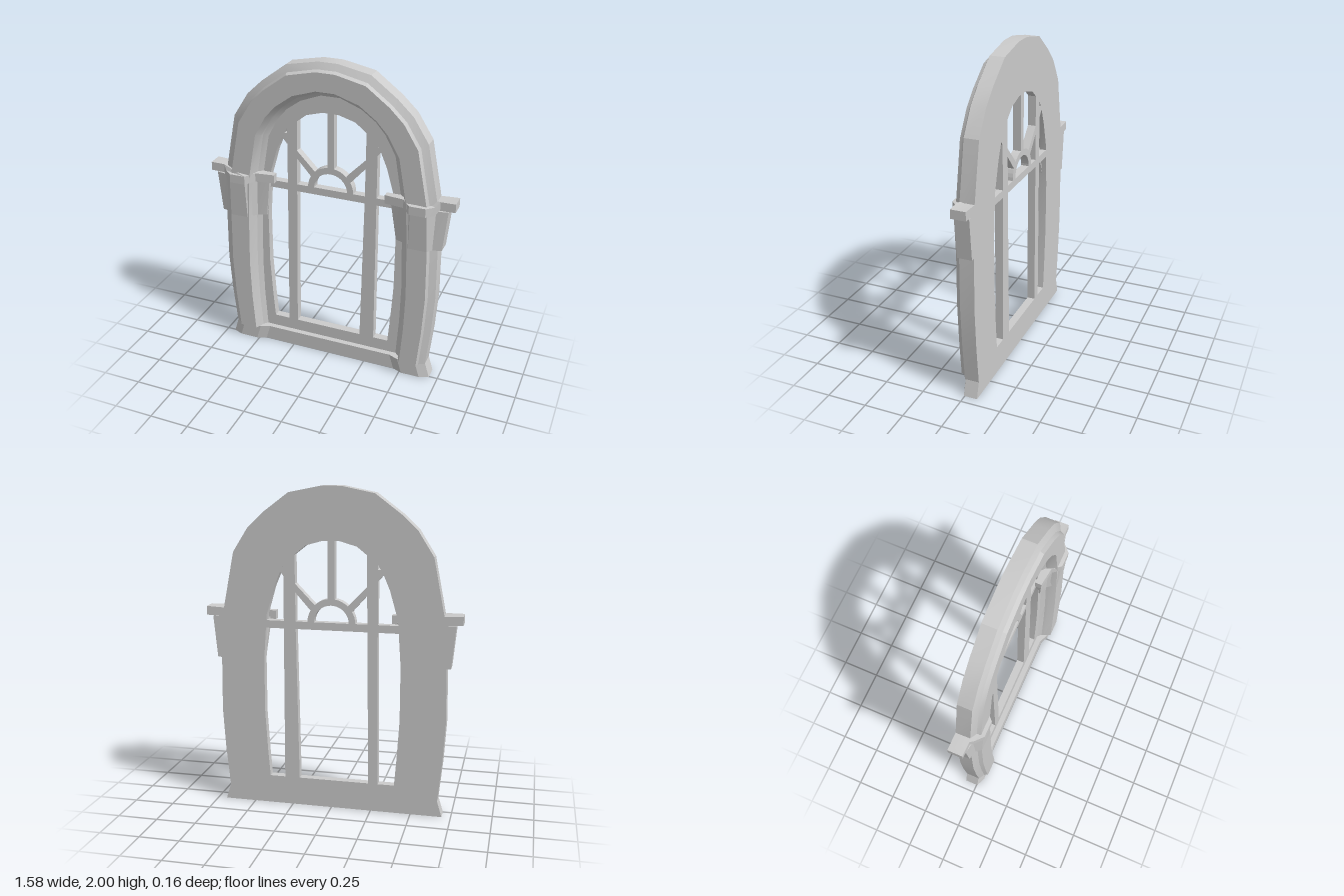
import * as THREE from 'three';
import { toCreasedNormals } from 'three/addons/utils/BufferGeometryUtils.js';

const BACK = -0.08, PANE = -0.03;
const material = new THREE.MeshStandardMaterial({ color: 0xcccccc });

function addMesh(group, name, geometry) {
  const mesh = new THREE.Mesh(geometry, material);
  mesh.name = name;
  group.add(mesh);
}

// Skins closed rings of [x, y, z]; both end rings lie level, the last faces up or down
function loft(rings, lastUp = true) {
  const n = rings[0].length, pos = [];
  const tri = (a, b, c) => pos.push(...a, ...b, ...c);
  for (let i = 0; i + 1 < rings.length; i++) {
    for (let j = 0; j < n; j++) {
      const k = (j + 1) % n, r = rings[i], s = rings[i + 1];
      tri(r[j], r[k], s[k]);
      tri(r[j], s[k], s[j]);
    }
  }
  const cap = (ring, up) => {
    const flat = ring.map(p => new THREE.Vector2(p[0], -p[2]));
    for (const [a, b, c] of THREE.ShapeUtils.triangulateShape(flat, [])) {
      const p = flat[a], q = flat[b], r = flat[c];
      const ccw = (q.x - p.x) * (r.y - p.y) - (q.y - p.y) * (r.x - p.x) > 0;
      if (ccw === up) tri(ring[a], ring[b], ring[c]);
      else tri(ring[a], ring[c], ring[b]);
    }
  };
  cap(rings[0], false);
  cap(rings[rings.length - 1], lastUp);
  const geo = new THREE.BufferGeometry();
  geo.setAttribute('position', new THREE.Float32BufferAttribute(pos, 3));
  return toCreasedNormals(geo, 0.35);
}

// Level ring from [x, z] points of the left side; side = -1 mirrors it
function levelRing(points, y, side) {
  const ring = points.map(([x, z]) => [x * side, typeof y === 'function' ? y(x) : y, z]);
  return side > 0 ? ring.reverse() : ring;
}

// Flat bar of pane depth from a 2D outline
function bar(points) {
  const shape = new THREE.Shape(points.map(p => new THREE.Vector2(...p)));
  const geo = new THREE.ExtrudeGeometry(shape, { depth: PANE - BACK, bevelEnabled: false });
  return geo.translate(0, 0, BACK);
}

export function createModel() {
  const group = new THREE.Group();

  // Moulded surround: outer edge, foot of the inner step, edge of the opening
  const half = [
    [[0.665, 0.1], [0.455, 0.1], [0.39, 0.1]],
    [[0.69, 0.35], [0.47, 0.35], [0.41, 0.35]],
    [[0.705, 0.6], [0.475, 0.6], [0.425, 0.6]],
    [[0.7, 0.94], [0.465, 0.94], [0.425, 0.94]],
    [[0.685, 1.22], [0.45, 1.22], [0.405, 1.22]],
    [[0.61, 1.6], [0.405, 1.48], [0.355, 1.395]],
    [[0.515, 1.75], [0.34, 1.6], [0.315, 1.49]],
    [[0.42, 1.84], [0.28, 1.67], [0.28, 1.55]],
    [[0.26, 1.96], [0.19, 1.735], [0.155, 1.65]],
    [[0.06, 2], [0.06, 1.785], [0.05, 1.68]],
  ];
  const mirrored = half.map(s => s.map(([x, y]) => [-x, y])).reverse();
  const profile = [[0, BACK], [0, 0.01], [0.18, 0.032], [0.23, 0.055], [0.76, 0.055],
    [0.86, 0.01], [0.88, -0.005], [1, PANE]];
  const rings = [...half, ...mirrored].map(([o, s, p]) => {
    const ring = profile.map(([t, z]) =>
      [o[0] + (s[0] - o[0]) * t, o[1] + (s[1] - o[1]) * t, z]);
    ring.push([...p, PANE], [...p, BACK]);
    return ring.reverse();
  });
  addMesh(group, 'archedSurround', loft(rings, false));

  // Base with a foot stepping forward under each pillar
  const baseRing = (w, y) => {
    const front = [[w, BACK], [w, 0.005], [w - 0.06, 0.03], [w - 0.18, 0.03], [w - 0.24, 0.005]];
    const right = front.map(([x, z]) => [-x, z]).reverse();
    return [...front, ...right].map(([x, z]) => [x, y, z]).reverse();
  };
  addMesh(group, 'base', loft([baseRing(0.695, 0), baseRing(0.665, 0.1)]));
  addMesh(group, 'sill', bar([[-0.45, 0.09], [0.45, 0.09], [0.45, 0.18], [-0.45, 0.18]]));

  // Capitals and the ledges above them
  const capitalLow = [[0.725, BACK], [0.725, 0.01], [0.67, 0.025], [0.645, 0.057],
    [0.53, 0.057], [0.485, 0], [0.43, -0.02], [0.43, -0.06], [0.46, BACK]];
  const capitalTop = [[0.75, BACK], [0.75, 0.012], [0.68, 0.025], [0.635, 0.07],
    [0.535, 0.07], [0.475, 0.01], [0.395, 0], [0.395, -0.03], [0.46, BACK]];
  const ledge = [[0.79, BACK], [0.79, 0.012], [0.7, 0.015], [0.675, 0.035], [0.63, 0.077],
    [0.53, 0.077], [0.48, 0.025], [0.36, 0.01], [0.36, PANE], [0.42, PANE], [0.42, BACK]];
  const ledgeY = base => x => base - (x > 0.69 ? 0 : x > 0.5 ? 0.03 : 0.02);
  for (const [side, label] of [[1, 'left'], [-1, 'right']]) {
    addMesh(group, label + 'Capital', loft([
      levelRing(capitalLow, 0.94, side), levelRing(capitalTop, 1.2, side)]));
    addMesh(group, label + 'Ledge', loft([
      levelRing(ledge, ledgeY(1.205), side), levelRing(ledge, ledgeY(1.26), side)]));
  }

  // Window bars
  addMesh(group, 'transom', bar([[-0.43, 1.14], [0.43, 1.14], [0.43, 1.187], [-0.43, 1.187]]));
  addMesh(group, 'centreMullion', bar([[-0.02, 1.31], [0.022, 1.31], [0.022, 1.69], [-0.02, 1.69]]));
  addMesh(group, 'leftMullion', bar([[0.205, 0.17], [0.3, 0.17], [0.295, 1.56], [0.225, 1.62], [0.222, 1.15]]));
  addMesh(group, 'rightMullion', bar([[-0.215, 1.62], [-0.28, 1.56], [-0.295, 0.17], [-0.235, 0.17]]));
  for (const s of [1, -1]) {
    const flip = pts => pts.map(([x, y]) => [x * s, y]);
    addMesh(group, 'diagonalBar', bar(flip([[0.125, 1.255], [0.24, 1.385], [0.24, 1.435], [0.09, 1.28]])));
    addMesh(group, 'cornerWeb', bar(flip([[0.27, 1.45], [0.285, 1.45], [0.325, 1.5], [0.305, 1.515], [0.27, 1.52]])));
  }

  // Half-round bar over the transom
  const fan = new THREE.Shape();
  fan.absarc(0, 1.185, 0.148, 0, Math.PI, false);
  fan.absarc(0, 1.185, 0.108, Math.PI, 0, true);
  const fanGeo = new THREE.ExtrudeGeometry(fan, { depth: PANE - BACK, bevelEnabled: false, curveSegments: 10 });
  addMesh(group, 'fanBar', fanGeo.translate(0, 0, BACK));

  return group;
}
